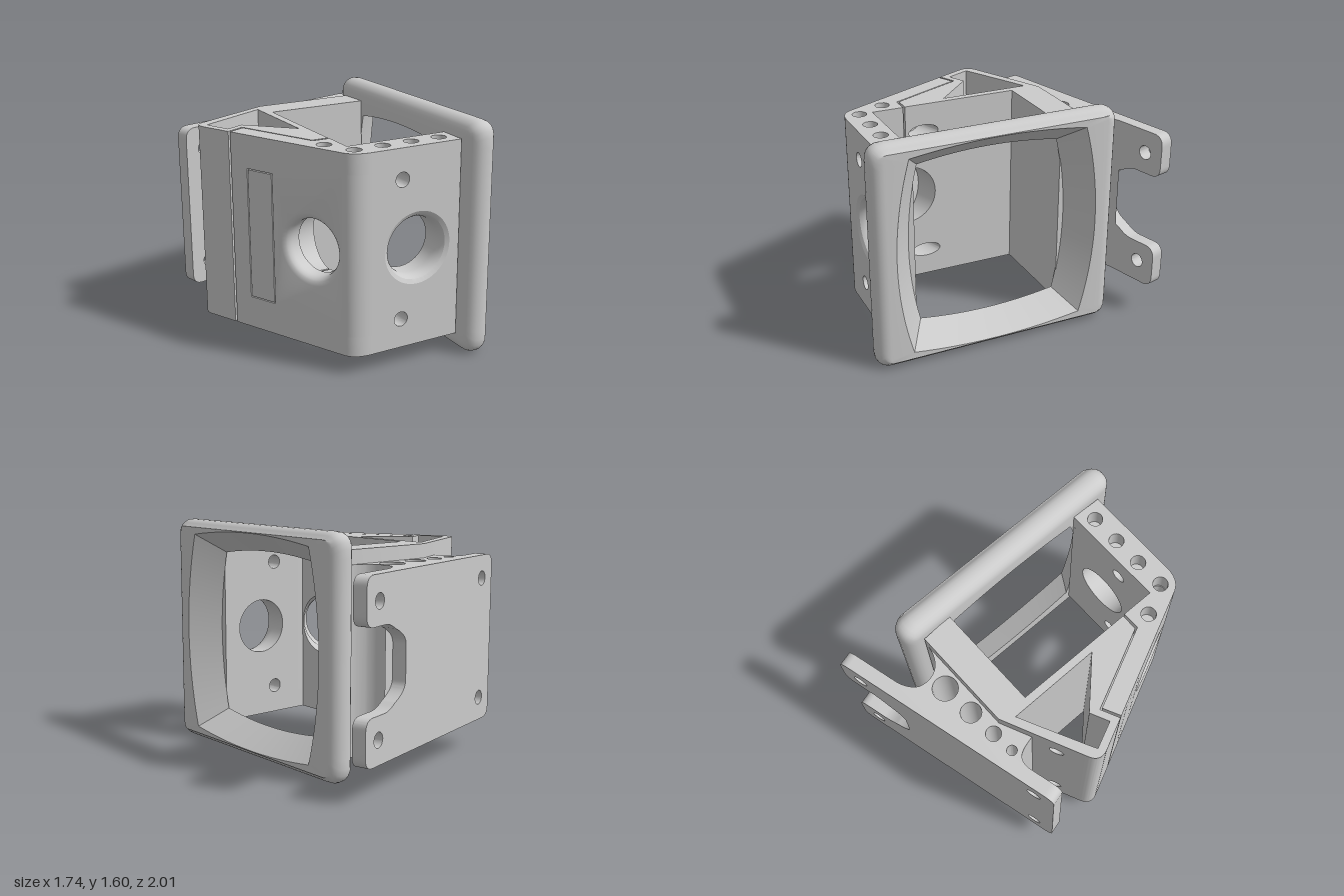
import * as THREE from 'three';
import { toCreasedNormals } from 'three/addons/utils/BufferGeometryUtils.js';

const MID = 0.8, Y0 = 0.13, Y1 = 1.475;   // body centre height, bottom and top
const LOW = 0.265, HIGH = 1.34;           // walls with cross holes lie between these
const grey = new THREE.MeshStandardMaterial({ color: 0xcccccc });

function addMesh(group, name, geo) {
  const mesh = new THREE.Mesh(toCreasedNormals(geo, 0.5), grey);
  mesh.name = name;
  group.add(mesh);
  return mesh;
}

function circle(x, y, rx, ry = rx) {
  return new THREE.Path().absellipse(x, y, rx, ry, 0, Math.PI * 2, false, 0);
}

// Plan outline of [x, z] points; a four-number entry is a curve [controlX, controlZ, x, z]
function plan(points, holes = []) {
  const shape = new THREE.Shape();
  points.forEach((p, i) => {
    if (i === 0) shape.moveTo(p[0], -p[1]);
    else if (p.length === 4) shape.quadraticCurveTo(p[0], -p[1], p[2], -p[3]);
    else shape.lineTo(p[0], -p[1]);
  });
  for (const [x, z, r] of holes) shape.holes.push(circle(x, -z, r));
  return shape;
}

// Upright prism on a plan outline
function prism(group, name, shape, y0, y1) {
  const geo = new THREE.ExtrudeGeometry(shape, { depth: y1 - y0, bevelEnabled: false, curveSegments: 16 });
  geo.rotateX(-Math.PI / 2).translate(0, y0, 0);
  return addMesh(group, name, geo);
}

function rect(s0, s1, y0, y1, holes = []) {
  const shape = new THREE.Shape([[s0, y0], [s1, y0], [s1, y1], [s0, y1]].map(p => new THREE.Vector2(...p)));
  shape.holes.push(...holes);
  return shape;
}

// Panel with a half-round notch in its starting edge
function notched(length, r, holes = []) {
  const shape = new THREE.Shape();
  shape.moveTo(0, LOW);
  shape.lineTo(length, LOW);
  shape.lineTo(length, HIGH);
  shape.lineTo(0, HIGH);
  shape.lineTo(0, MID + r);
  shape.absarc(0, MID, r, Math.PI / 2, -Math.PI / 2, true);
  shape.holes.push(...holes);
  return shape;
}

// Wall spanned between two plan lines; a flared hole narrows with depth from the far line
function wall(group, name, shape, length, near, far, flareAt = null) {
  const geo = new THREE.ExtrudeGeometry(shape, { depth: 1, steps: flareAt ? 14 : 1, bevelEnabled: false, curveSegments: 24 });
  const pos = geo.attributes.position;
  const lerp = THREE.MathUtils.lerp;
  for (let i = 0; i < pos.count; i++) {
    let s = pos.getX(i), y = pos.getY(i);
    const d = pos.getZ(i);
    if (flareAt !== null) {
      const ds = s - flareAt, dy = y - MID;
      if (Math.abs(Math.hypot(ds, dy) - FLARE) < 1e-3) {
        const q = Math.max(0, 1 - (1 - d) / 0.45);
        const k = (BORE + (FLARE - BORE) * (1 - Math.sqrt(1 - q * q))) / FLARE;
        s = flareAt + ds * k;
        y = MID + dy * k;
      }
    }
    const u = s / length;
    const at = (line, c) => lerp(line[0][c], line[1][c], u);
    pos.setXYZ(i, lerp(at(near, 0), at(far, 0), d), y, lerp(at(near, 1), at(far, 1), d));
  }
  return addMesh(group, name, geo);
}
const FLARE = 0.245, BORE = 0.195;
const SCREWS = [0.33, 1.27];

// Rounded bezel with a bowed, tapering opening, built from closed rings
function bezelGeometry() {
  const H = [0.875, 0.8], R = 0.09, D = 0.094, N = 24;
  const ring = fn => {
    const out = [];
    for (let side = 0; side < 4; side++) {
      for (let k = 0; k < N; k++) {
        const u = Math.sin((k / N * 2 - 1) * Math.PI / 2);
        out.push(fn(...[[1, u], [-u, 1], [-1, -u], [u, -1]][side], side % 2, u));
      }
    }
    return out;
  };
  const outer = (ex, ey, z) => ring((px, py) => {
    const h = [H[0] - ex, H[1] - ey], r = Math.max(0.1 - ex, 0.01);
    const x = px * h[0], y = py * h[1];
    const cx = THREE.MathUtils.clamp(x, r - h[0], h[0] - r), cy = THREE.MathUtils.clamp(y, r - h[1], h[1] - r);
    const l = Math.hypot(x - cx, y - cy) || 1;
    return [cx + (x - cx) / l * r, cy + (y - cy) / l * r, z];
  });
  const opening = (c, m, z) => ring((px, py, flat, u) => {
    const bow = 1 - u * u;
    return [px * (c[0] + (flat ? 0 : (m[0] - c[0]) * bow)), py * (c[1] + (flat ? (m[1] - c[1]) * bow : 0)), z];
  });
  const rings = [opening([0.502, 0.57], [0.574, 0.61], -D)];
  for (let a = -6; a <= 6; a++) {
    const t = a / 6 * Math.PI / 2, e = R * (1 - Math.cos(t));
    rings.push(outer(e, a > 0 ? Math.min(e, 0.05) : e, (D - R) * Math.sign(a) + R * Math.sin(t)));
  }
  rings.push(opening([0.625, 0.7], [0.725, 0.745], D));
  const M = N * 4, index = [];
  for (let i = 0; i < rings.length; i++) {
    for (let j = 0; j < M; j++) {
      const i2 = (i + 1) % rings.length, j2 = (j + 1) % M;
      const a = i * M + j, b = i * M + j2, c = i2 * M + j2, d = i2 * M + j;
      index.push(a, b, c, a, c, d);
    }
  }
  const geo = new THREE.BufferGeometry();
  geo.setAttribute('position', new THREE.Float32BufferAttribute(rings.flat(2), 3));
  geo.setIndex(index);
  return geo;
}

export function createModel() {
  const model = new THREE.Group();
  model.name = 'mountedHousing';

  // Bezel, turned to face the side
  const bezel = addMesh(model, 'bezel', bezelGeometry());
  bezel.rotation.y = THREE.MathUtils.degToRad(75);
  bezel.position.set(0.378, MID, 0.158);

  // Front housing: top and bottom layers with upright holes
  const front = new THREE.Group();
  front.name = 'frontHousing';
  model.add(front);
  const frontPlan = plan(
    [[-0.83, -0.335], [-0.705, -0.36], [-0.607, 0.215], [-0.49, 0.245], [-0.55, 0.46], [0.15, 0.645],
      [0.09, 0.845], [-0.54, 0.675], [-0.66, 0.645, -0.677, 0.555]],
    [[-0.62, 0.33, 0.05], [-0.575, 0.55, 0.05], [-0.375, 0.6, 0.05], [-0.175, 0.655, 0.05], [0.025, 0.71, 0.05]]);
  prism(front, 'lowerLayer', frontPlan, Y0, LOW);
  prism(front, 'upperLayer', frontPlan, HIGH, Y1);
  prism(front, 'roundedCorner', plan(
    [[-0.677, 0.555], [-0.545, 0.52], [-0.55, 0.46], [-0.5, 0.473], [-0.54, 0.675], [-0.66, 0.645, -0.677, 0.555]],
    [[-0.575, 0.55, 0.045]]), LOW, HIGH);

  // Front wall with flared port and screw holes
  wall(front, 'frontWall', rect(0, 0.652, LOW, HIGH,
    [circle(0.336, MID, FLARE), ...SCREWS.map(y => circle(0.217, y, 0.05))]),
  0.652, [[-0.5, 0.473], [0.15, 0.645]], [[-0.54, 0.675], [0.09, 0.845]], 0.336);

  // Side wall with flared port and a slot holding an insert
  const sideNear = [[-0.705, -0.36], [-0.545, 0.52]], sideFar = [[-0.83, -0.335], [-0.677, 0.555]];
  const slot = rect(0.135, 0.345, 0.35, 1.25);
  wall(front, 'sideWall', rect(0, 0.903, LOW, HIGH, [circle(0.654, MID, FLARE), slot]), 0.903, sideNear, sideFar, 0.654);
  wall(front, 'slotInsert', rect(0.142, 0.338, 0.357, 1.243), 0.903, sideNear, sideFar);
  wall(front, 'portCheekFront', notched(0.223, 0.215), 0.223,
    [[-0.49, 0.245], [-0.55, 0.46]], [[-0.607, 0.215], [-0.557, 0.46]]);

  // Rear housing around a triangular pocket
  const rear = new THREE.Group();
  rear.name = 'rearHousing';
  model.add(rear);
  prism(rear, 'rearShell', plan(
    [[-0.77, -0.602], [-0.82, -0.59], [-0.79, -0.405], [-0.655, -0.43], [-0.455, -0.085], [-0.29, -0.7],
      [-0.45, -0.668], [-0.46, -0.726], [-0.21, -0.77], [0.475, -0.595], [0.43, -0.383], [-0.27, -0.565],
      [-0.41, -0.06], [-0.642, -0.04], [-0.698, -0.375], [-0.833, -0.35], [-0.869, -0.56],
      [-0.885, -0.65, -0.8, -0.665], [-0.78, -0.669]]), Y0, Y1);

  // Inner cheek beside the port, pierced by slanting screw holes
  const cheekNear = [[-0.6, 0.2], [-0.642, -0.04]], cheekFar = [[-0.49, 0.23], [-0.41, -0.06]];
  wall(rear, 'portCheekRear', notched(0.3, 0.215, SCREWS.map(y => circle(0.135, y, 0.11, 0.05))), 0.3, cheekNear, cheekFar);
  for (const [y0, y1] of [[Y0, LOW], [HIGH, Y1]]) {
    wall(rear, 'cheekEnd', rect(0, 0.3, y0, y1), 0.3, cheekNear, cheekFar);
  }
  wall(rear, 'pocketBackWall', rect(0, 0.33, Y0, Y1, SCREWS.map(y => circle(0.14, y, 0.05))), 0.33,
    [[-0.45, -0.668], [-0.77, -0.602]], [[-0.46, -0.726], [-0.78, -0.669]]);

  // Mounting bracket: arm with lightening holes
  prism(model, 'bracketArm', plan(
    [[-0.53, -0.905], [-0.43, -0.9, -0.43, -0.8], [-0.43, -0.73], [-0.21, -0.768], [0.475, -0.595],
      [0.4, -0.61, 0.345, -0.675], [0.29, -0.76, 0.345, -0.85], [0.4, -0.905, 0.5, -0.905]],
    [[-0.375, -0.87, 0.033], [-0.22, -0.845, 0.05], [-0.025, -0.81, 0.068], [0.2, -0.77, 0.083]]), 0.22, 1.38);

  // Back plate with two tabs and four screw holes
  const L = -0.77, R = 0.87, B = 0.22, T = 1.38, c = 0.08;
  const plate = new THREE.Shape();
  plate.moveTo(L + c, B);
  plate.lineTo(R - c, B);
  plate.quadraticCurveTo(R, B, R, B + c);
  plate.lineTo(R, 0.45);
  plate.quadraticCurveTo(R, 0.53, R - c, 0.53);
  plate.lineTo(0.66, 0.53);
  plate.quadraticCurveTo(0.6, 0.53, 0.54, 0.57);
  plate.quadraticCurveTo(0.41, 0.62, 0.41, 0.69);
  plate.lineTo(0.41, 0.91);
  plate.quadraticCurveTo(0.41, 0.98, 0.54, 1.03);
  plate.quadraticCurveTo(0.6, 1.07, 0.66, 1.07);
  plate.lineTo(R - c, 1.07);
  plate.quadraticCurveTo(R, 1.07, R, 1.15);
  plate.lineTo(R, T - c);
  plate.quadraticCurveTo(R, T, R - c, T);
  plate.lineTo(L + c, T);
  plate.quadraticCurveTo(L, T, L, T - c);
  plate.lineTo(L, B + c);
  plate.quadraticCurveTo(L, B, L + c, B);
  for (const x of [-0.62, 0.725]) for (const y of [0.38, 1.22]) plate.holes.push(circle(x, y, 0.05));
  const plateGeo = new THREE.ExtrudeGeometry(plate, { depth: 0.095, bevelEnabled: false, curveSegments: 16 });
  addMesh(model, 'backPlate', plateGeo.translate(0, 0, -1));

  return model;
}
